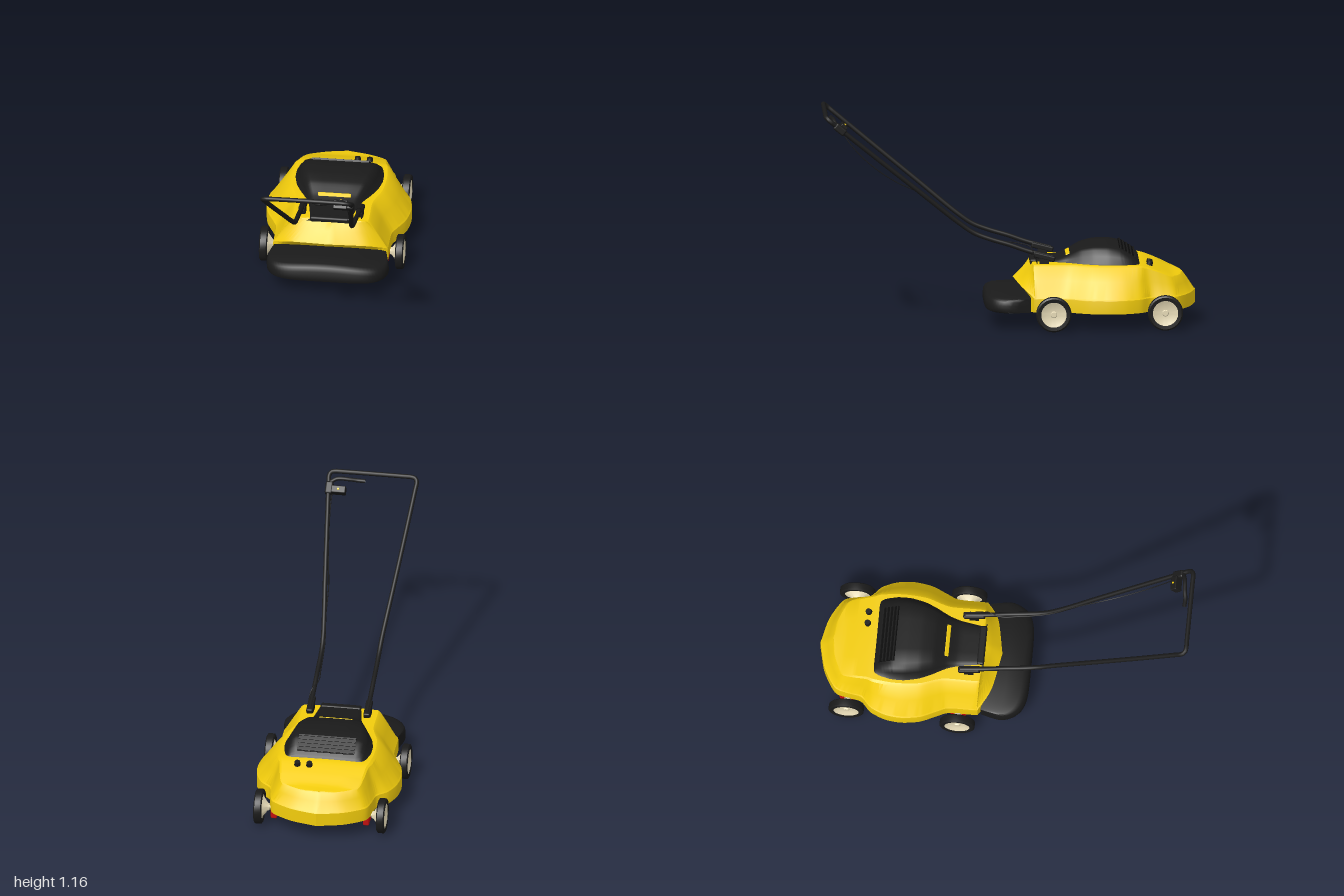
import * as THREE from 'three';
import { toCreasedNormals } from 'three/addons/utils/BufferGeometryUtils.js';
import { RoundedBoxGeometry } from 'three/addons/geometries/RoundedBoxGeometry.js';

const paint = (color) => new THREE.MeshStandardMaterial({ color, side: THREE.DoubleSide });
const yellow = paint(0xf2cc0c), black = paint(0x1a1a1a), dark = paint(0x0a0a0a);
const cream = paint(0xe8dcb8), red = paint(0xc01010);
const V = (x, y, z) => new THREE.Vector3(x, y, z);

// Skin a list of cross-sections, each an array of Vector3
function loft(sections, closed, crease = 0.5) {
  const n = sections[0].length, pos = [], idx = [];
  sections.forEach((s) => s.forEach((p) => pos.push(p.x, p.y, p.z)));
  for (let i = 0; i < sections.length - 1; i++) {
    for (let j = 0; j < (closed ? n : n - 1); j++) {
      const k = (j + 1) % n, a = i * n + j, b = i * n + k;
      idx.push(a, a + n, b, b, a + n, b + n);
    }
  }
  const g = new THREE.BufferGeometry();
  g.setAttribute('position', new THREE.Float32BufferAttribute(pos, 3));
  g.setIndex(idx);
  return toCreasedNormals(g, crease);
}

function add(parent, name, geometry, material, x = 0, y = 0, z = 0) {
  const m = new THREE.Mesh(geometry, material);
  m.name = name;
  m.position.set(x, y, z);
  parent.add(m);
  return m;
}

const tube = (points, r, seg = 60, sides = 12) =>
  new THREE.TubeGeometry(new THREE.CatmullRomCurve3(points.map((p) => V(...p))), seg, r, sides);

// Deck shell: half outline from rear to front, skirt and top edge paired
function deckGeometry() {
  // skirt x, skirt z, lip height, top x, top z, top height
  const rows = [
    [0, -1, 0.17, 0, -0.93, 0.265], [0.14, -0.965, 0.17, 0.1, -0.915, 0.265],
    [0.25, -0.9, 0.17, 0.2, -0.87, 0.272], [0.275, -0.83, 0.17, 0.225, -0.8, 0.302],
    [0.29, -0.755, 0.17, 0.237, -0.73, 0.328], [0.345, -0.7, 0.17, 0.25, -0.69, 0.335],
    [0.38, -0.62, 0.17, 0.26, -0.6, 0.336], [0.39, -0.53, 0.17, 0.26, -0.53, 0.336],
    [0.375, -0.43, 0.17, 0.25, -0.44, 0.336], [0.335, -0.34, 0.17, 0.222, -0.36, 0.336],
    [0.312, -0.28, 0.17, 0.21, -0.3, 0.336], [0.31, -0.14, 0.17, 0.21, -0.14, 0.336],
    [0.3, -0.12, 0.18, 0.19, -0.125, 0.335], [0.2, -0.06, 0.222, 0.12, -0.12, 0.333],
    [0, -0.02, 0.243, 0, -0.12, 0.333],
  ];
  const skirt = new THREE.CatmullRomCurve3(rows.map((r) => V(r[0], r[2], r[1])), false, 'catmullrom', 0.4);
  const top = new THREE.CatmullRomCurve3(rows.map((r) => V(r[3], r[5], r[4])), false, 'catmullrom', 0.4);
  const N = (rows.length - 1) * 5;
  const ring = (f) => {
    const half = [];
    for (let i = 0; i <= N; i++) half.push(f(skirt.getPoint(i / N), top.getPoint(i / N)));
    const mirrored = half.slice(1, -1).reverse().map((p) => V(-p.x, p.y, p.z));
    return half.concat(mirrored);
  };
  const wall = (t, bulge) => ring((s, e) => {
    const p = V(s.x * 0.982, s.y + 0.006, (s.z + 0.5) * 0.985 - 0.5).lerp(e, t);
    p.y += bulge;
    return p;
  });
  return loft([
    ring((s) => V(s.x, 0.097, Math.min(s.z, -0.11))),
    ring((s) => V(s.x, 0.165, Math.min(s.z, -0.11))),
    ring((s) => V(s.x * 0.997, s.y, s.z)),
    wall(0, 0), wall(0.5, 0.004), wall(0.93, 0.003),
    ring((s, e) => V(e.x * 0.97, e.y + 0.001, e.z)),
    ring((s, e) => V(e.x * 0.5, e.y + 0.004, e.z)),
    ring((s, e) => V(0, e.y + 0.005, e.z)),
  ], true, 0.45);
}

// Motor cover: domed sections from front to rear
function coverGeometry() {
  const stations = [
    [-0.115, 0.125, 0.33], [-0.12, 0.13, 0.345], [-0.25, 0.15, 0.352], [-0.31, 0.165, 0.372],
    [-0.38, 0.2, 0.408], [-0.45, 0.23, 0.423], [-0.53, 0.248, 0.424], [-0.6, 0.25, 0.41],
    [-0.65, 0.245, 0.38], [-0.69, 0.235, 0.347], [-0.7, 0.225, 0.332],
  ];
  const half = [[1, 0], [0.92, 0.15], [0.85, 0.55], [0.78, 0.86], [0.68, 1], [0.34, 1.01]];
  const profile = [...half, [0, 1.02], ...half.map(([x, y]) => [-x, y]).reverse()];
  const path = new THREE.CatmullRomCurve3(stations.map((s) => V(...s)), false, 'catmullrom', 0.3);
  return loft(path.getPoints(50).map((s) =>
    profile.map(([x, y]) => V(x * s.y, 0.328 + (s.z - 0.328) * y, s.x))), false, 0.6);
}

// Front deflector: sections across the width, arched on top
function deflectorGeometry() {
  const sections = [], N = 40;
  for (let i = 0; i <= N; i++) {
    const t = Math.sin((i / N - 0.5) * Math.PI), x = 0.335 * t;
    const f = -0.11 + 0.247 * Math.pow(Math.max(0, 1 - Math.abs(t) ** 5), 0.3);
    const h = 0.197 - 0.03 * t * t, b = -0.11, r = Math.min(0.02, (f - b) / 3);
    const pts = [[f - r, 0.095], [f - r * 0.3, 0.101], [f, 0.115], [f - r * 0.1, h - 0.035],
      [f - r * 0.7, h - 0.015], [f - r * 2, h - 0.004], [b + (f - b) * 0.5, h], [b, h], [b, 0.095]];
    sections.push(pts.map(([z, y]) => V(x * (1 + 0.9 * Math.min(0, z)), y, z)));
  }
  return loft(sections, true, 0.7);
}

// Wheel with tyre, dished hub and inner boss; outer face towards +x
function wheel(name) {
  const g = new THREE.Group();
  g.name = name;
  const spin = (pts) => toCreasedNormals(new THREE.LatheGeometry(
    pts.map((p) => new THREE.Vector2(...p)), 40).rotateZ(-Math.PI / 2), 0.6);
  add(g, 'tyre', spin([[0.068, -0.02], [0.086, -0.022], [0.094, -0.016], [0.095, 0],
    [0.094, 0.016], [0.086, 0.022], [0.068, 0.02], [0.068, -0.02]]), black);
  add(g, 'hub', spin([[0, -0.055], [0.018, -0.055], [0.022, -0.045], [0.06, -0.016], [0.069, -0.016],
    [0.069, 0.018], [0.062, 0.016], [0.045, 0.008], [0.018, 0.006], [0.014, 0.012], [0, 0.012]]), cream);
  return g;
}

export function createModel() {
  const model = new THREE.Group();
  model.name = 'lawnMower';

  add(model, 'deckShell', deckGeometry(), yellow);
  add(model, 'motorCover', coverGeometry(), black);
  add(model, 'frontDeflector', deflectorGeometry(), black);
  add(model, 'motorHousing', new THREE.CylinderGeometry(0.05, 0.035, 0.09, 20), black, 0, 0.29, -0.52);

  // Cover details: grip slot, front lip, rear vent grille
  add(model, 'gripSlot', new RoundedBoxGeometry(0.18, 0.012, 0.025, 2, 0.005), yellow, 0, 0.372, -0.315).rotation.x = 0.5;
  add(model, 'coverLip', new RoundedBoxGeometry(0.22, 0.03, 0.04, 2, 0.01), black, 0, 0.337, -0.13);
  const vent = new THREE.Group();
  vent.name = 'rearVent';
  vent.position.set(0, 0.393, -0.632);
  vent.rotation.x = -0.56;
  model.add(vent);
  add(vent, 'ventPanel', new THREE.BoxGeometry(0.31, 0.006, 0.1), dark);
  for (let i = 0; i < 5; i++) {
    add(vent, 'ventSlat', new THREE.BoxGeometry(0.31, 0.008, 0.007), black, 0, 0.003, -0.044 + i * 0.022);
  }

  // Knobs on the rear slope
  for (const x of [0.075, 0.14]) {
    add(model, 'knob', new THREE.CylinderGeometry(0.015, 0.018, 0.025, 20), black, x, 0.332, -0.752).rotation.x = -0.25;
  }

  // Wheels, axles and red height adjusters
  for (const side of [1, -1]) {
    for (const [label, x, z, bx] of [['front', 0.367, -0.23, 0.288], ['rear', 0.333, -0.83, 0.25]]) {
      const w = wheel(label + 'Wheel');
      w.position.set(side * x, 0.095, z);
      if (side < 0) w.rotation.y = Math.PI;
      model.add(w);
      add(model, label + 'Axle', new THREE.CylinderGeometry(0.01, 0.01, x - bx, 12), cream,
        side * (x + bx) / 2, 0.095, z).rotation.z = Math.PI / 2;
      add(model, label + 'Adjuster', new RoundedBoxGeometry(0.034, 0.1, 0.085, 2, 0.008), red, side * bx, 0.098, z);
    }

    // Handle mounts
    const mount = add(model, 'handleMount', new RoundedBoxGeometry(0.036, 0.03, 0.12, 2, 0.008), black,
      side * 0.155, 0.374, -0.185);
    mount.rotation.x = -0.25;
    add(model, 'mountFoot', new THREE.BoxGeometry(0.034, 0.05, 0.05), black, side * 0.155, 0.355, -0.185);
  }

  // Bent handle tube, mirrored across the crossbar
  const arm = [[0.155, 0.37, -0.23], [0.155, 0.405, -0.1], [0.155, 0.44, 0], [0.155, 0.47, 0.1],
    [0.155, 0.505, 0.19], [0.159, 0.56, 0.27], [0.185, 0.74, 0.49], [0.213, 0.94, 0.735],
    [0.235, 1.105, 0.935], [0.238, 1.13, 0.965], [0.23, 1.144, 0.982], [0.21, 1.149, 0.988], [0.17, 1.15, 0.988]];
  const handle = [...arm, ...arm.map(([x, y, z]) => [-x, y, z]).reverse()];
  add(model, 'handle', tube(handle, 0.0125, 240), black);

  // Switch box, clamp and lever near the crossbar
  const box = add(model, 'switchBox', new RoundedBoxGeometry(0.078, 0.05, 0.04, 2, 0.005), black, 0.175, 1.083, 0.9);
  box.rotation.x = -0.75;
  add(box, 'switchButton', new THREE.CylinderGeometry(0.006, 0.006, 0.008, 12), yellow, 0, 0.025, 0);
  add(model, 'switchClamp', new RoundedBoxGeometry(0.042, 0.04, 0.07, 2, 0.01), black, 0.228, 1.085, 0.912).rotation.x = -0.69;
  const lever = tube([[0.225, 1.11, 0.935], [0.19, 1.128, 0.945], [0.13, 1.127, 0.95], [0.08, 1.12, 0.957], [0.04, 1.12, 0.955]], 0.011, 30);
  add(model, 'switchLever', lever, black);

  // Power cable hanging from the switch to the deck
  add(model, 'cable', tube([[0.21, 1.07, 0.9], [0.213, 1.0, 0.855], [0.205, 0.89, 0.75], [0.185, 0.79, 0.61],
    [0.165, 0.73, 0.49], [0.157, 0.62, 0.34], [0.143, 0.53, 0.22], [0.138, 0.46, 0.05],
    [0.135, 0.445, -0.05], [0.16, 0.43, -0.11], [0.172, 0.39, -0.13], [0.165, 0.335, -0.15]], 0.003, 120, 6), black);

  return model;
}
